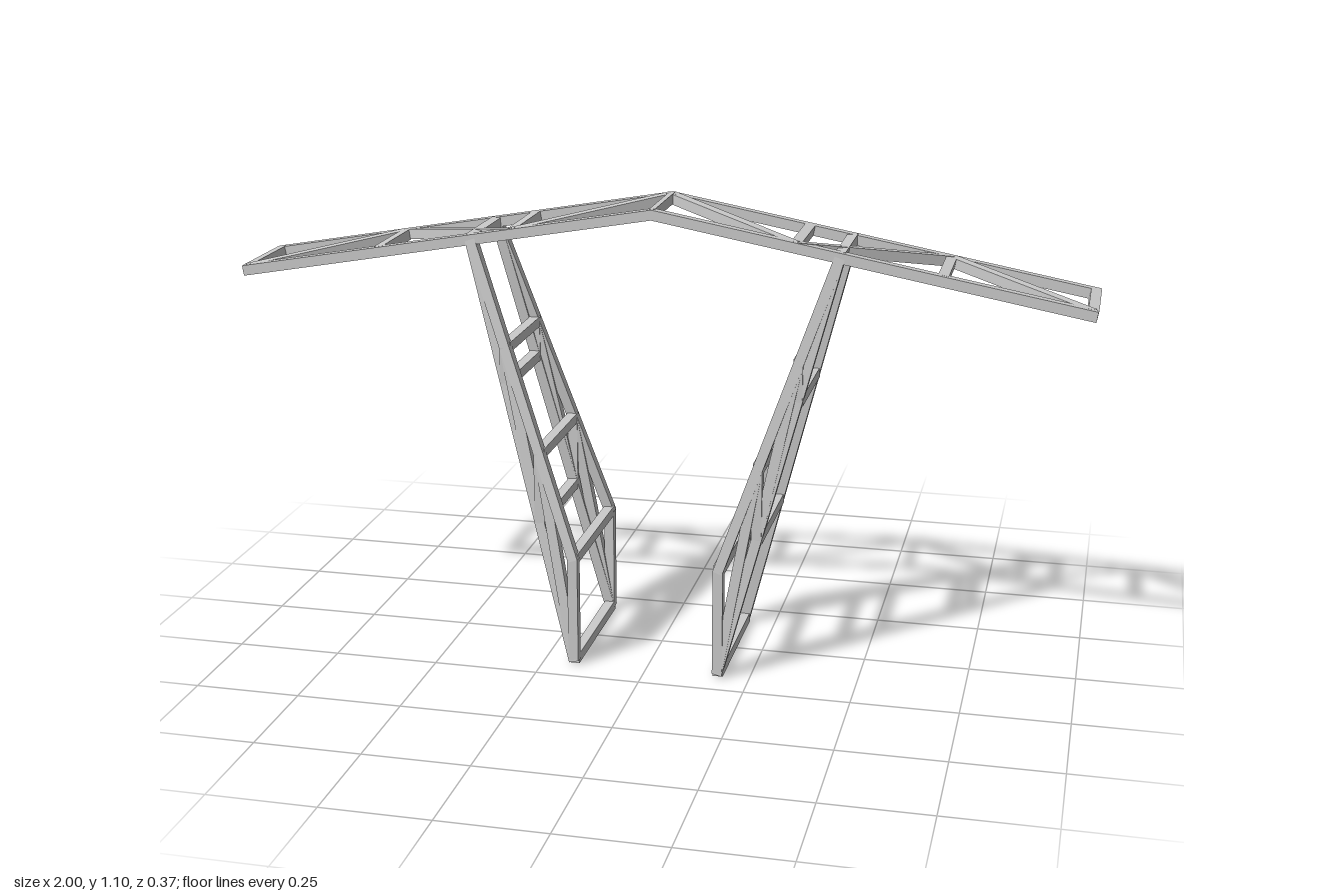
import * as THREE from 'three';

const material = new THREE.MeshStandardMaterial({ color: 0xcccccc, flatShading: true });
const T = 0.024; // bar thickness
const V = (x, y, z) => new THREE.Vector3(x, y, z);

// Square bar between two points; "up" fixes the roll of its section
function bar(parent, name, a, b, up = V(0, 1, 0), width = T, extend = 0) {
  const mesh = new THREE.Mesh(new THREE.BoxGeometry(width, T, a.distanceTo(b) + extend), material);
  mesh.name = name;
  mesh.position.copy(a).lerp(b, 0.5);
  mesh.up.copy(up);
  mesh.lookAt(b);
  parent.add(mesh);
  return mesh;
}

// Gabled flat truss: two bent chords, cross bars and zigzag diagonals
function createRoof() {
  const roof = new THREE.Group();
  roof.name = 'roofTruss';
  const Z = 0.102, slope = 0.18;
  const at = (x, z) => V(x, 1.088 - slope * Math.abs(x), z);

  const profile = new THREE.Shape([
    [0, 1.1], [-1, 0.92], [-0.996, 0.896], [0, 1.076], [0.996, 0.896], [1, 0.92],
  ].map(([x, y]) => new THREE.Vector2(x, y)));
  for (const s of [1, -1]) {
    const chord = new THREE.Mesh(
      new THREE.ExtrudeGeometry(profile, { depth: T, bevelEnabled: false }), material);
    chord.name = 'roofChord';
    chord.position.z = s * Z - T / 2;
    roof.add(chord);
  }

  for (let i = -3; i <= 3; i++) {
    const x = i * 0.329;
    const cross = bar(roof, 'roofCrossBar', at(x, -Z), at(x, Z), V(0, 1, 0), i ? T : 0.013);
    cross.rotation.z = -Math.sign(i) * Math.atan(slope);
    if (i < 3) {
      const s = i % 2 ? 1 : -1;
      bar(roof, 'roofDiagonal', at(x, s * Z), at(x + 0.329, -s * Z));
    }
  }
  return roof;
}

// Tapering leg: two side frames joined by rungs on the outer and inner chords
function createLeg() {
  const leg = new THREE.Group();
  const zUp = V(0, 0, 1);
  const topY = 1.01, footY = 0.014, kneeY = 0.27;
  // t runs from 0 at the foot or knee to 1 at the roof
  const point = (startY, t, s) =>
    V(0.175 + 0.255 * t, startY + (topY - startY) * t, s * (0.175 - 0.073 * t));
  const outer = (t, s) => point(footY, t, s);
  const inner = (t, s) => point(kneeY, t, s);

  for (const s of [1, -1]) {
    bar(leg, 'outerLegChord', outer(0, s), outer(1, s), zUp, T, 0.01);
    bar(leg, 'innerLegChord', inner(0, s), inner(1, s), zUp, T, 0.01);
    bar(leg, 'footPost', outer(0, s), inner(0, s), zUp);
    for (const i of [0, 1]) {
      const t = i / 3, next = (i + 1) / 3;
      bar(leg, 'legDiagonal', outer(t, s), inner(next, s), zUp);
      bar(leg, 'legStrut', outer(next, s), inner(next, s), zUp);
    }
  }
  for (let i = 0; i <= 3; i++) {
    bar(leg, 'outerRung', outer(i / 3, -1), outer(i / 3, 1));
    if (i < 3) bar(leg, 'innerRung', inner(i / 3, -1), inner(i / 3, 1));
  }
  return leg;
}

export function createModel() {
  const model = new THREE.Group();
  model.name = 'trussFrame';
  model.add(createRoof());

  const left = createLeg();
  left.name = 'leftLeg';
  const right = createLeg();
  right.name = 'rightLeg';
  right.rotation.y = Math.PI; // the leg is symmetric front to back
  model.add(left, right);
  return model;
}
